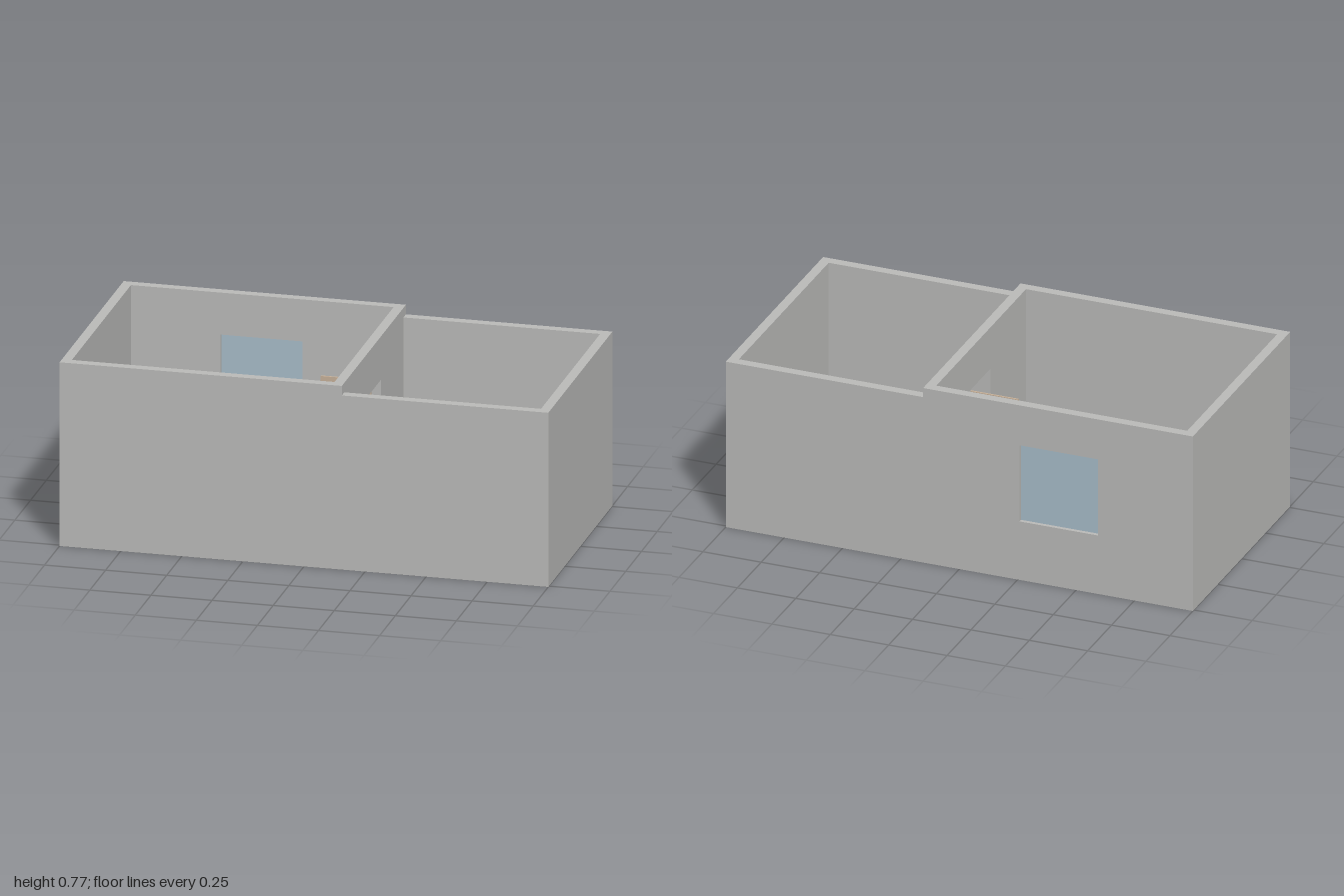
import * as THREE from 'three';

const mat = (name, color) => Object.assign(new THREE.MeshStandardMaterial({ color }), { name });

export function createModel() {
  const model = new THREE.Group();
  model.name = 'twoRoomHouse';
  const plaster = mat('grey plaster', 0xbcbcba);
  const wood = mat('tan wood', 0xc8b29a);
  const glass = mat('pale blue glass', 0xa9becb);

  const W = 1, D = 0.51, T = 0.04;        // half width, half depth, wall thickness
  const tall = 0.77, low = 0.73, step = 0.155;

  const add = (parent, name, geometry, material) => {
    const mesh = new THREE.Mesh(geometry, material);
    mesh.name = name;
    parent.add(mesh);
    return mesh;
  };
  // Box given by its minimum and maximum corners
  const box = (parent, name, material, [x0, y0, z0], [x1, y1, z1]) =>
    add(parent, name, new THREE.BoxGeometry(x1 - x0, y1 - y0, z1 - z0), material)
      .position.set((x0 + x1) / 2, (y0 + y1) / 2, (z0 + z1) / 2);
  const polygon = (pts) => new THREE.Shape(pts.map(([x, y]) => new THREE.Vector2(x, y)));
  const extrude = (shape) => new THREE.ExtrudeGeometry(shape, { depth: T, bevelEnabled: false });

  // Long walls, stepped where the taller room ends
  const stepped = () => polygon([[-W, 0], [W, 0], [W, low], [step, low], [step, tall], [-W, tall]]);
  const win = { x0: -0.593, x1: -0.258, y0: 0.258, y1: 0.594 };
  add(model, 'frontWall', extrude(stepped()), plaster).position.z = D - T;
  const backShape = stepped();
  backShape.holes.push(polygon([[win.x0, win.y0], [win.x0, win.y1], [win.x1, win.y1], [win.x1, win.y0]]));
  add(model, 'backWall', extrude(backShape), plaster).position.z = -D;

  // End walls
  box(model, 'rightEndWall', plaster, [-W, 0, -D + T], [-W + T, tall, D - T]);
  box(model, 'leftEndWall', plaster, [W - T, 0, -D + T], [W, low, D - T]);

  // Partition with a doorway notch
  const inner = D - T, door0 = -0.115, door1 = 0.1, doorTop = 0.588;
  const partition = extrude(polygon([
    [-inner, 0], [door0, 0], [door0, doorTop], [door1, doorTop],
    [door1, 0], [inner, 0], [inner, tall], [-inner, tall],
  ])).rotateY(-Math.PI / 2);
  add(model, 'partitionWall', partition, plaster).position.x = step;

  // Floor, open door leaf and window pane
  box(model, 'floor', wood, [-W + T, 0.0015, -inner], [W - T, 0.005, inner]);
  box(model, 'doorLeaf', wood, [-0.09, 0, door0 + 0.001], [step - T, doorTop - 0.003, door0 + 0.009]);
  box(model, 'windowPane', glass, [win.x0, win.y0, -0.494], [win.x1, win.y1, -0.486]);

  // Sofa facing the back of the room
  const sofa = new THREE.Group();
  sofa.name = 'sofa';
  model.add(sofa);
  box(sofa, 'seat', plaster, [-0.672, 0, 0.185], [-0.172, 0.12, 0.38]);
  box(sofa, 'backrest', plaster, [-0.715, 0, 0.38], [-0.13, 0.23, 0.43]);
  for (const x of [-0.715, -0.172]) {
    box(sofa, 'armrest', plaster, [x, 0, 0.185], [x + 0.042, 0.17, 0.38]);
  }

  // Table with four corner legs
  const table = new THREE.Group();
  table.name = 'table';
  table.position.x = 0.56;
  model.add(table);
  const tx = 0.22, tz = 0.124, leg = 0.014;
  box(table, 'tableTop', wood, [-tx, 0.2, -tz], [tx, 0.212, tz]);
  for (const x of [-tx, tx - leg]) {
    for (const z of [-tz, tz - leg]) {
      box(table, 'tableLeg', wood, [x, 0, z], [x + leg, 0.2, z + leg]);
    }
  }
  return model;
}
